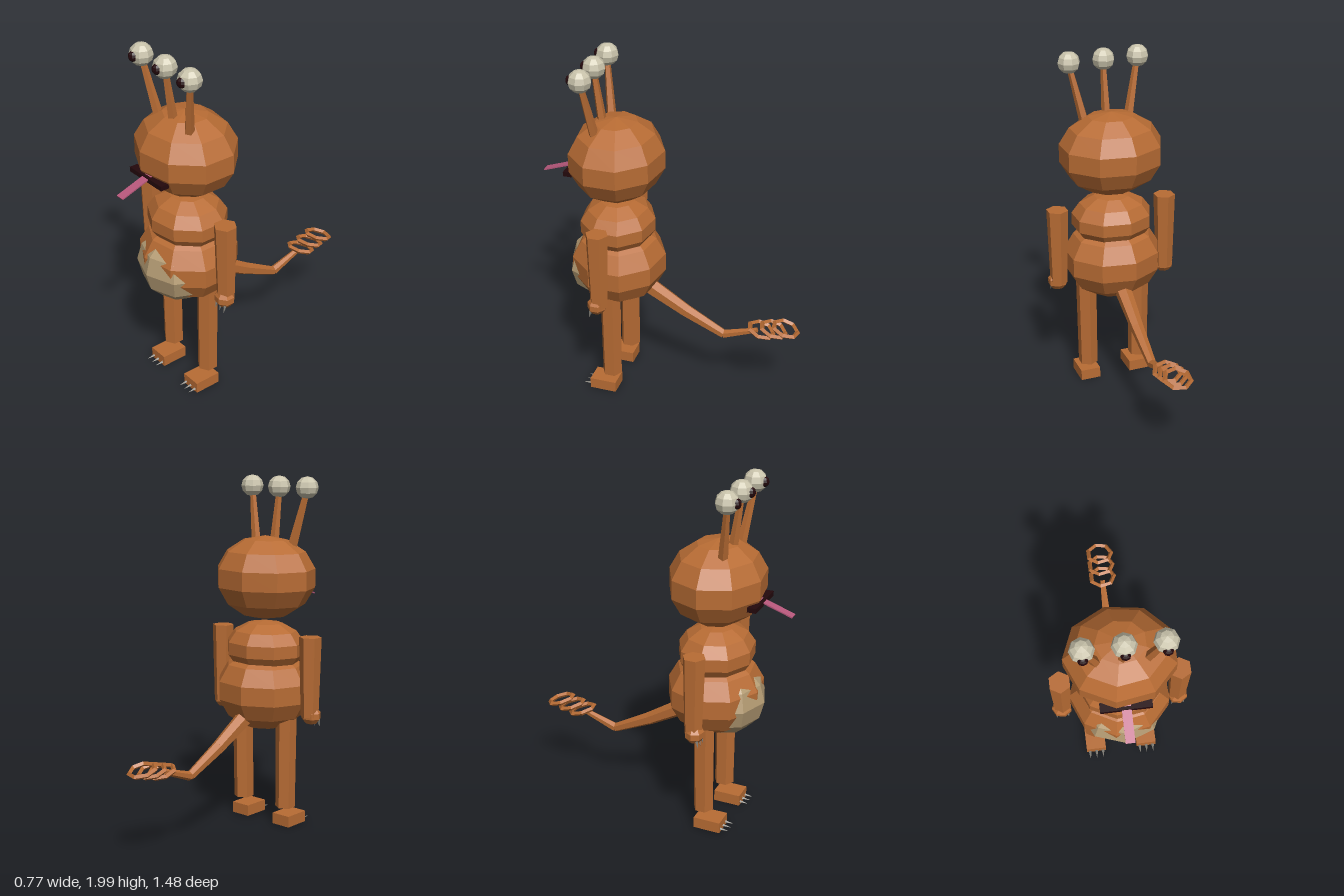
import * as THREE from 'three';

const mat = (name, color, extra = {}) => {
  const m = new THREE.MeshStandardMaterial({ color, flatShading: true, ...extra });
  m.name = name;
  return m;
};

export function createModel() {
  const skin = mat('orangeSkin', 0xb86c34);
  const tan = mat('bellyTan', 0xb59c74);
  const eyeWhite = mat('eyeCream', 0xcac4ac);
  const dark = mat('darkMaroon', 0x24080c);
  const pink = mat('tonguePink', 0xb8587c);
  const clawGrey = mat('clawGrey', 0x85827a);

  const model = new THREE.Group();
  model.name = 'creature';
  const V = (x, y, z) => new THREE.Vector3(x, y, z);

  const add = (name, geometry, material, parent = model) => {
    const m = new THREE.Mesh(geometry, material);
    m.name = name;
    parent.add(m);
    return m;
  };

  // Faceted ellipsoid
  const blob = (name, material, pos, radii, w = 9, h = 7) => {
    const m = add(name, new THREE.SphereGeometry(1, w, h).scale(...radii), material);
    m.position.set(...pos);
    return m;
  };

  // Tapered limb between two points
  const limb = (name, material, a, b, ra, rb, sides = 6) => {
    const dir = b.clone().sub(a);
    const m = add(name, new THREE.CylinderGeometry(rb, ra, dir.length(), sides), material);
    m.position.copy(a).add(b).multiplyScalar(0.5);
    m.quaternion.setFromUnitVectors(V(0, 1, 0), dir.normalize());
    return m;
  };

  // Head and body
  blob('head', skin, [0, 1.435, 0.315], [0.305, 0.237, 0.267]);
  blob('chest', skin, [0, 1.035, 0.317], [0.24, 0.157, 0.213]);
  blob('belly', skin, [0, 0.795, 0.315], [0.29, 0.235, 0.27]);
  blob('bellyPatch', tan, [0, 0.77, 0.4], [0.235, 0.2, 0.2], 8, 6);

  // Mouth and tongue
  add('mouth', new THREE.BoxGeometry(0.27, 0.026, 0.05), dark).position.set(0, 1.356, 0.555);
  const tongue = add('tongue', new THREE.BoxGeometry(0.05, 0.007, 0.2), pink);
  tongue.position.set(0, 1.337, 0.645);
  tongue.rotation.x = 0.33;

  // Three eyes on stalks
  for (const s of [-1, 0, 1]) {
    limb('eyeStalk', skin, V(s * 0.13, 1.6, 0.39), V(s * 0.2, 1.93, 0.435), 0.028, 0.016, 5);
    blob('eye', eyeWhite, [s * 0.2, 1.938, 0.433], [0.064, 0.062, 0.064], 8, 6);
    blob('pupil', dark, [s * 0.2, 1.938, 0.484], [0.027, 0.028, 0.025], 8, 6);
  }

  for (const s of [-1, 1]) {
    // Arms and hands with claws
    limb('arm', skin, V(s * 0.327, 0.68, 0.32), V(s * 0.325, 1.13, 0.32), 0.05, 0.063);
    blob('hand', skin, [s * 0.33, 0.685, 0.33], [0.06, 0.053, 0.055], 7, 5);
    for (const k of [-1, 0, 1]) {
      limb('handClaw', clawGrey, V(s * 0.33 + k * 0.032, 0.66, 0.355),
        V(s * 0.33 + k * 0.034, 0.62, 0.365), 0.01, 0.001, 4);
    }

    // Legs and feet with claws
    limb('leg', skin, V(s * 0.158, 0.12, 0.318), V(s * 0.163, 0.66, 0.315), 0.057, 0.06);
    add('foot', new THREE.BoxGeometry(0.118, 0.064, 0.155), skin).position.set(s * 0.154, 0.043, 0.36);
    for (const k of [-1, 0, 1]) {
      limb('footClaw', clawGrey, V(s * 0.154 + k * 0.04, 0.03, 0.425),
        V(s * 0.154 + k * 0.04, 0.027, 0.482), 0.011, 0.001, 4);
    }
  }

  // Bent tail
  const tail = [
    [V(0, 0.67, 0.17), 0.05], [V(0, 0.522, -0.08), 0.038],
    [V(0, 0.408, -0.305), 0.026], [V(0, 0.475, -0.5), 0.016],
  ];
  for (let i = 0; i < 3; i++) {
    limb('tailSegment', skin, tail[i][0], tail[i + 1][0], tail[i][1], tail[i + 1][1]);
  }

  // Tilted rings at the tail tip
  for (let i = 0; i < 3; i++) {
    const ring = add('tailRing', new THREE.TorusGeometry(0.072, 0.014, 4, 7), skin);
    ring.position.set(0, 0.482 + i * 0.018, -0.522 - i * 0.069);
    ring.rotation.x = Math.PI / 2 - 0.3;
  }

  return model;
}
